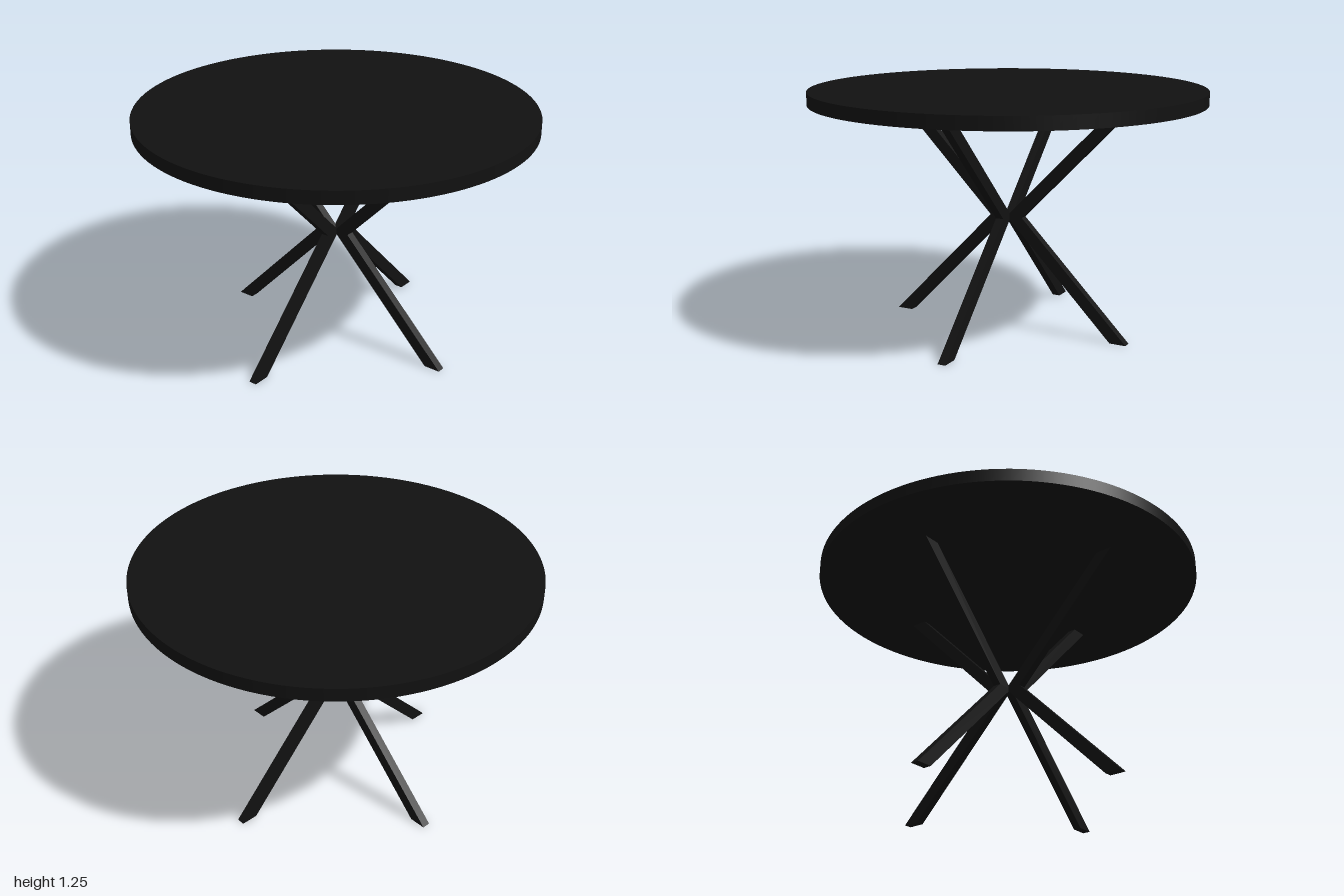
import * as THREE from 'three';

export function createModel() {
  const group = new THREE.Group();
  const material = new THREE.MeshStandardMaterial({ color: 0x111111 });

  const height = 1.25, topThickness = 0.065;
  const legHeight = height - topThickness;
  const legDepth = 0.042;

  // Round slab
  const top = new THREE.Mesh(new THREE.CylinderGeometry(1, 1, topThickness, 128), material);
  top.name = 'tableTop';
  top.position.y = height - topThickness / 2;
  group.add(top);

  // Bent leg: foot to centre and back out to the underside of the top
  const outline = new THREE.Shape([
    [0.588, 0], [0.674, 0], [0.09, legHeight / 2], [0.674, legHeight],
    [0.588, legHeight], [0.004, legHeight / 2],
  ].map(([x, y]) => new THREE.Vector2(x, y)));
  const legGeometry = new THREE.ExtrudeGeometry(outline, { depth: legDepth, bevelEnabled: false });
  legGeometry.translate(0, 0, -legDepth / 2);

  // Four legs meeting at the middle
  ['leftLeg', 'backLeg', 'rightLeg', 'frontLeg'].forEach((name, i) => {
    const leg = new THREE.Mesh(legGeometry, material);
    leg.name = name;
    leg.rotation.y = i * Math.PI / 2;
    group.add(leg);
  });

  return group;
}
